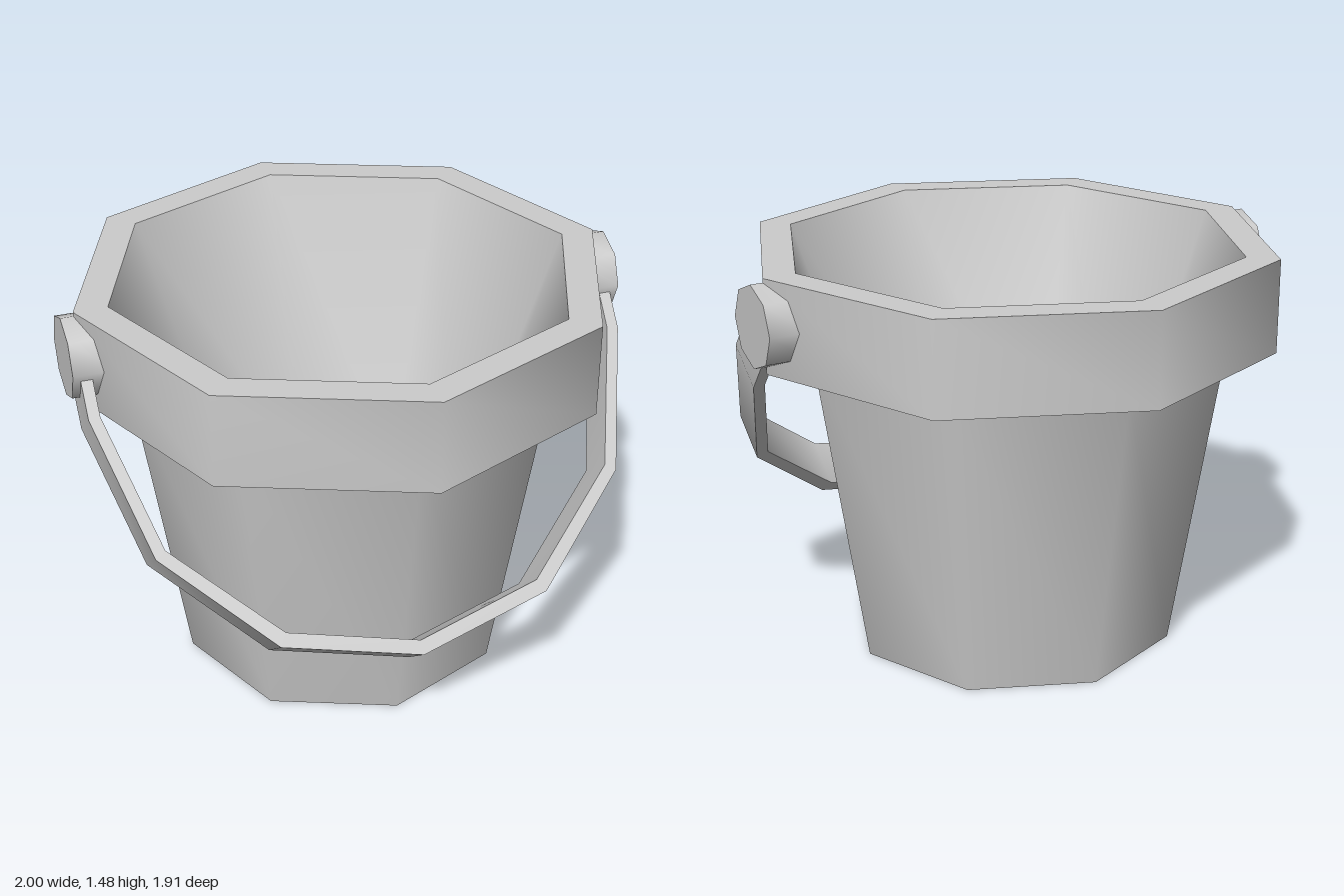
import * as THREE from 'three';
import { toCreasedNormals } from 'three/addons/utils/BufferGeometryUtils.js';

const material = new THREE.MeshStandardMaterial({ color: 0xcccccc });
const SIDES = 8;

function addMesh(parent, name, geometry) {
  const mesh = new THREE.Mesh(toCreasedNormals(geometry, 1.0), material);
  mesh.name = name;
  parent.add(mesh);
  return mesh;
}

// Eight-sided turned part from [radius, height] pairs
function turned(profile) {
  return new THREE.LatheGeometry(profile.map(([r, y]) => new THREE.Vector2(r, y)), SIDES);
}

export function createModel() {
  const bucket = new THREE.Group();
  bucket.name = 'bucket';

  // Tapered outside wall with a recessed underside
  addMesh(bucket, 'outerWall', turned([[0, 0.37], [0.445, 0.37], [0.6, 0], [0.78, 1.145]]));

  // Thick band around the top
  addMesh(bucket, 'rim', turned([[0.78, 1.145], [0.955, 1.145], [0.955, 1.483], [0.835, 1.483]]));

  // Inside wall and floor
  addMesh(bucket, 'innerWall', turned([[0.835, 1.483], [0.445, 0.42], [0, 0.42]]));

  // Handle pivots on both sides
  const pivotY = 1.32;
  for (const side of [1, -1]) {
    const geometry = new THREE.CylinderGeometry(0.148, 0.148, 0.16, SIDES);
    geometry.rotateZ(Math.PI / 2);
    const pivot = addMesh(bucket, side > 0 ? 'leftPivot' : 'rightPivot', geometry);
    pivot.position.set(side * 0.92, pivotY, 0);
  }

  // Flat bail handle: outer and inner outlines as [x, distance below pivot]
  const outer = [[0.973, 0], [0.973, 0.24], [0.845, 0.74], [0.487, 1.11], [0, 1.236]];
  const inner = [[0.932, 0], [0.932, 0.235], [0.807, 0.715], [0.46, 1.064], [0, 1.184]];
  const mirrored = (half) => [
    ...half,
    ...half.slice(0, -1).reverse().map(([x, d]) => [-x, d]),
  ];
  const outline = [...mirrored(outer), ...mirrored(inner).reverse()];
  const shape = new THREE.Shape(outline.map(([x, d]) => new THREE.Vector2(x, -d)));
  const width = 0.182;
  const strap = new THREE.ExtrudeGeometry(shape, { depth: width, bevelEnabled: false });
  strap.translate(0, 0, -width / 2);
  const handle = addMesh(bucket, 'handle', strap);
  handle.position.y = pivotY;
  handle.rotation.x = -0.68;

  return bucket;
}
